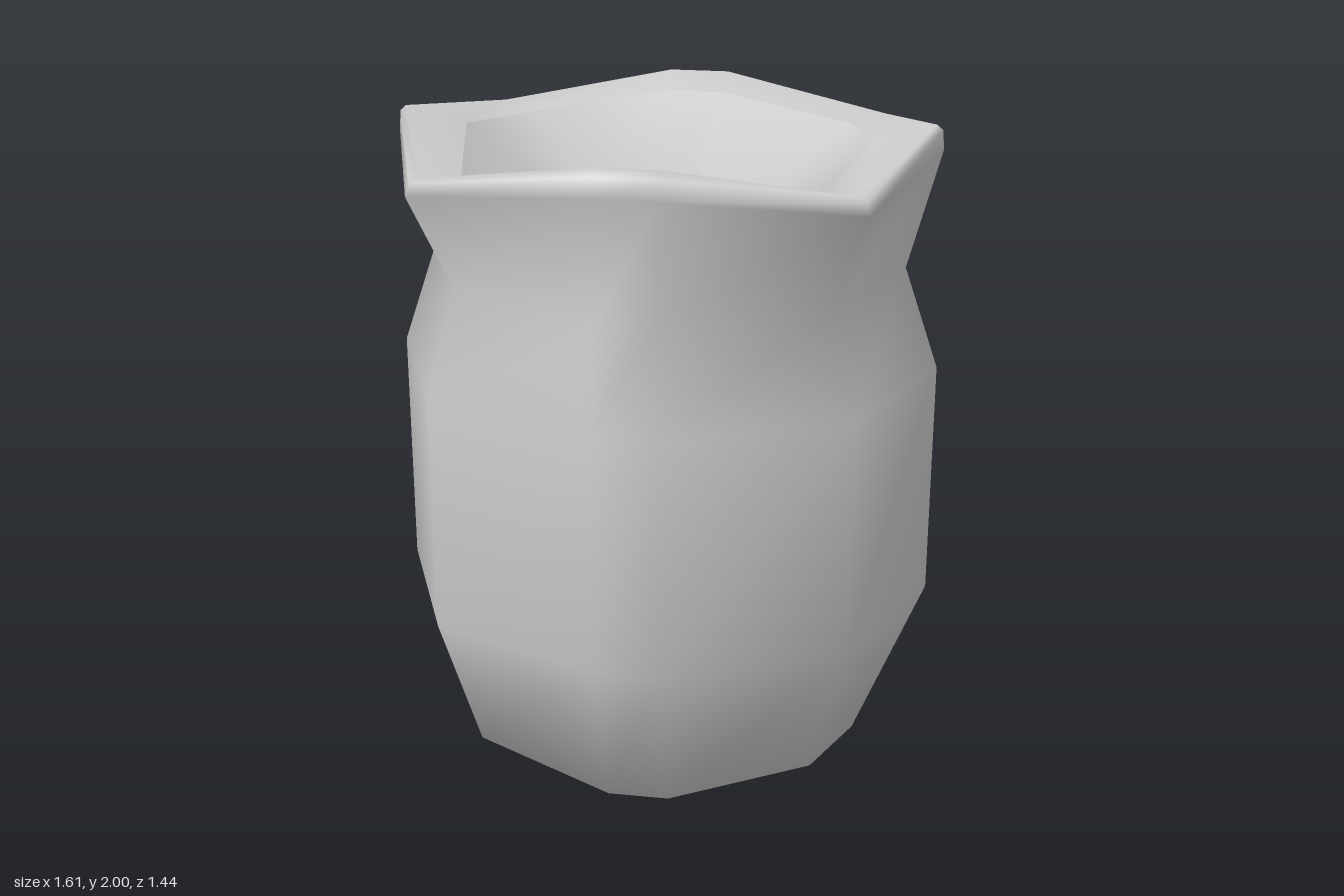
import * as THREE from 'three';
import { mergeVertices } from 'three/addons/utils/BufferGeometryUtils.js';

const MID = 0.09; // half width of the short front and back facets

// One ten-sided ring: side [x, y], corner [x, z, y], middle [z, y]
function ringPoints([sx, sy, cx, cz, cy, mz, my]) {
  return [
    [sx, sy, 0], [cx, cy, cz], [MID, my, mz], [-MID, my, mz], [-cx, cy, cz],
    [-sx, sy, 0], [-cx, cy, -cz], [-MID, my, -mz], [MID, my, -mz], [cx, cy, -cz],
  ];
}

// A ring collapsed to a short ridge, closing the skin at height y
const ridge = (y) => [MID, y, MID, 0, y, 0, y];

// Skin a list of rings with smooth normals
function loft(rings) {
  const positions = rings.flatMap(ringPoints).flat();
  const index = [];
  const n = 10;
  for (let r = 0; r < rings.length - 1; r++) {
    for (let j = 0; j < n; j++) {
      const a = r * n + j, b = r * n + (j + 1) % n;
      index.push(a, a + n, b, b, a + n, b + n);
    }
  }
  let g = new THREE.BufferGeometry();
  g.setAttribute('position', new THREE.Float32BufferAttribute(positions, 3));
  g.setIndex(index);
  g = mergeVertices(g, 1e-4);
  g.computeVertexNormals();
  return g;
}

export function createModel() {
  const group = new THREE.Group();
  group.name = 'pot';
  const clay = new THREE.MeshStandardMaterial({ color: 0xcccccc });
  clay.name = 'grey clay';

  const add = (name, rings) => {
    const mesh = new THREE.Mesh(loft(rings), clay);
    mesh.name = name;
    group.add(mesh);
  };

  // each ring: side x, side y, corner x, corner z, corner y, middle z, middle y
  const lip = [0.59, 1.955, 0.5, 0.41, 1.9, 0.51, 1.96];

  // Bulging underside, outer wall and flared rim in one smooth skin
  add('potBody', [
    ridge(0),
    [0.595, 0.06, 0.5, 0.41, 0.15, 0.51, 0.055],
    [0.803, 0.57, 0.6, 0.49, 0.56, 0.718, 0.57],
    [0.803, 1.28, 0.6, 0.49, 1.28, 0.718, 1.28],
    [0.7, 1.58, 0.525, 0.43, 1.58, 0.625, 1.58],
    [0.792, 1.93, 0.625, 0.53, 1.87, 0.692, 1.93],
    [0.787, 1.985, 0.615, 0.52, 1.905, 0.682, 1.985],
    [0.77, 2.0, 0.595, 0.5, 1.915, 0.635, 2.0],
    lip,
  ]);

  // Shallow dished inside
  add('innerDish', [lip, ridge(1.62)]);

  return group;
}
